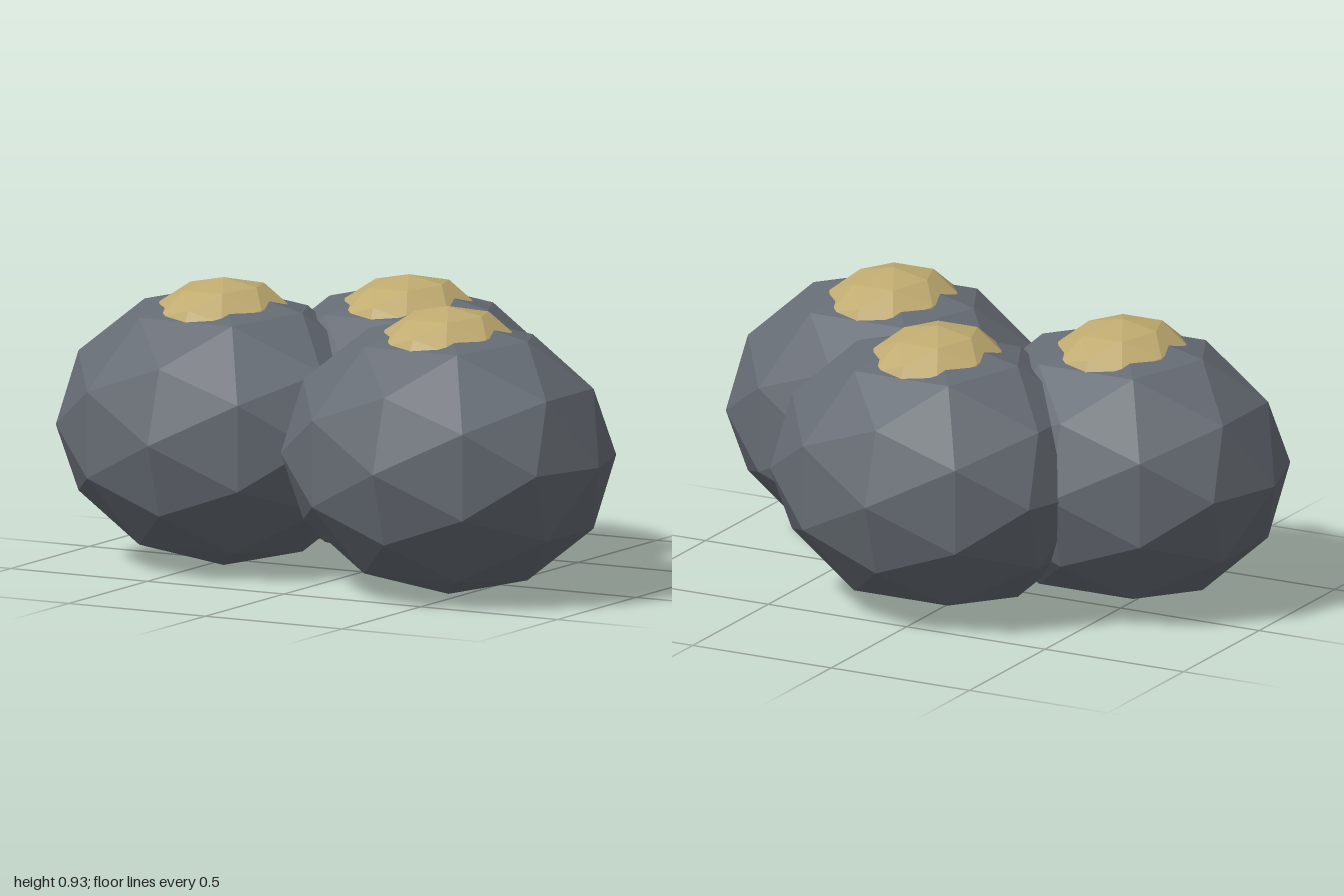
import * as THREE from 'three';

// Low-poly ellipsoid with flat facets
function facetedBlob(name, radii, position, material) {
  const geometry = new THREE.IcosahedronGeometry(1, 1);
  geometry.scale(...radii);
  geometry.computeVertexNormals(); // unindexed, so normals stay flat
  const mesh = new THREE.Mesh(geometry, material);
  mesh.name = name;
  mesh.position.set(...position);
  return mesh;
}

export function createModel() {
  const model = new THREE.Group();
  model.name = 'boulderCluster';

  const stone = new THREE.MeshStandardMaterial({ color: 0x666c74, flatShading: true });
  stone.name = 'slate grey';
  const patch = new THREE.MeshStandardMaterial({ color: 0xc0ab70, flatShading: true });
  patch.name = 'sandy yellow';

  // Three overlapping boulders, each with a patch sunk into its top
  const spots = [
    ['leftBoulder', 0.45, 0.237],
    ['rightBoulder', -0.45, 0.103],
    ['backBoulder', 0.03, -0.24],
  ];
  for (const [name, x, z] of spots) {
    const group = new THREE.Group();
    group.name = name;
    group.position.set(x, 0, z);
    group.add(
      facetedBlob('boulder', [0.55, 0.45, 0.482], [0, 0.45, 0], stone),
      facetedBlob('topPatch', [0.23, 0.16, 0.265], [0, 0.765, 0], patch),
    );
    model.add(group);
  }
  return model;
}
